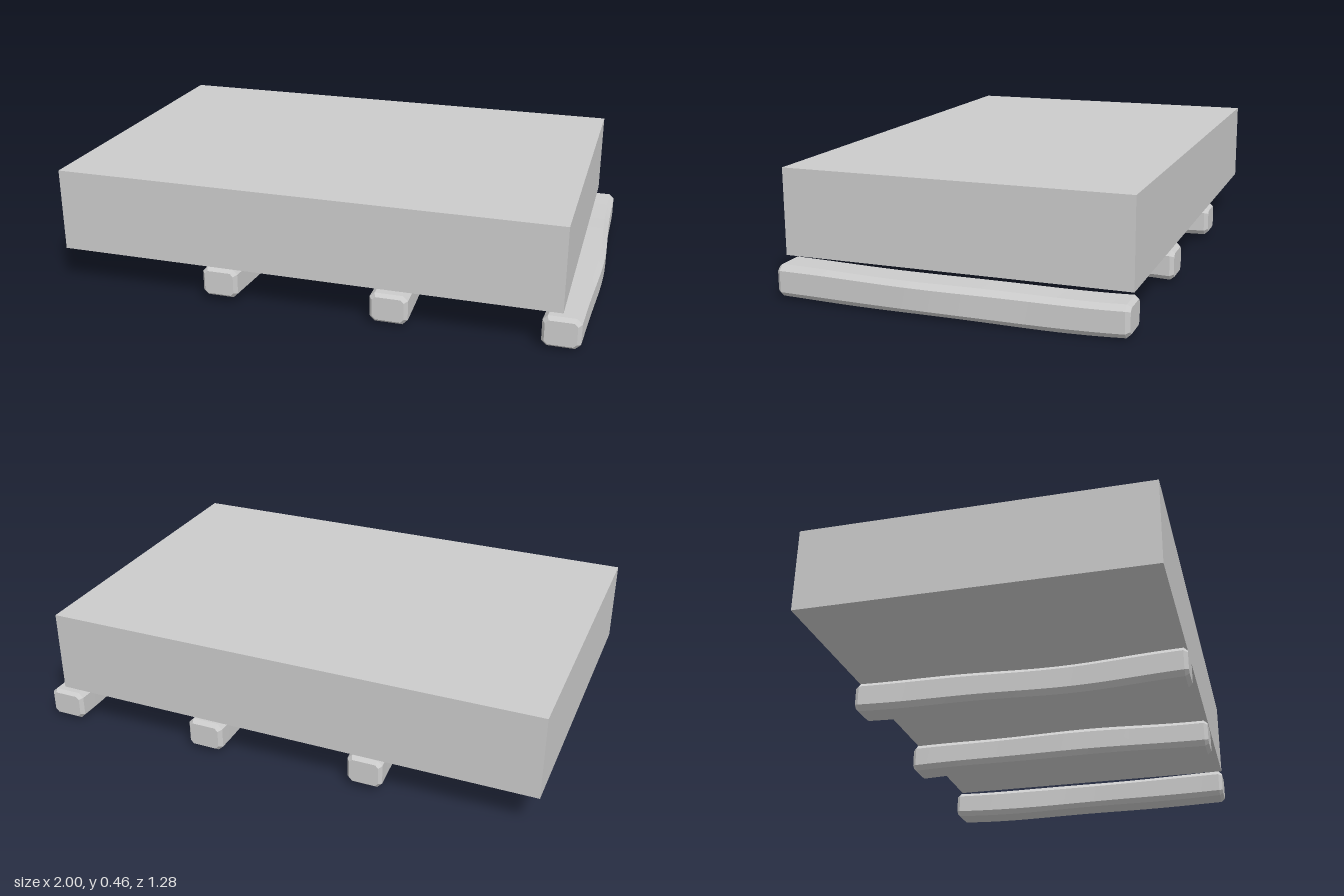
import * as THREE from 'three';
import { toCreasedNormals } from 'three/addons/utils/BufferGeometryUtils.js';

const LENGTH = 1.282;

// Rough timber: a chamfered bar along z, gently bowed and worn by smooth waves
function timberGeometry(width, height, bow, phase) {
  const bevel = 0.012, c = 0.012;
  const w = width / 2 - bevel, h = height / 2 - bevel;
  const section = new THREE.Shape([
    [w - c, -h], [w, -h + c], [w, h - c], [w - c, h],
    [-w + c, h], [-w, h - c], [-w, -h + c], [-w + c, -h],
  ].map(([x, y]) => new THREE.Vector2(x, y)));
  const geometry = new THREE.ExtrudeGeometry(section, {
    depth: LENGTH - 0.03, steps: 28,
    bevelThickness: 0.015, bevelSize: bevel, bevelSegments: 1,
  });
  geometry.translate(0, 0, 0.015 - LENGTH / 2);

  const p = geometry.attributes.position;
  for (let i = 0; i < p.count; i++) {
    const x = p.getX(i), y = p.getY(i), z = p.getZ(i);
    const arch = Math.cos(z * Math.PI / LENGTH);
    const sideWear = 1 + 0.04 * Math.sin(9 * z + phase + Math.sign(x));
    const topWear = 1 + 0.05 * Math.sin(8 * z + 2 * phase + 2 * Math.sign(y));
    p.setX(i, x * sideWear + bow * (arch - 0.5) + 0.003 * Math.sin(6 * z + phase));
    p.setY(i, y * topWear + 0.004 * Math.sin(5 * z + phase) - 0.003 * arch);
  }
  return toCreasedNormals(geometry, 0.5);
}

export function createModel() {
  const group = new THREE.Group();
  const material = new THREE.MeshStandardMaterial({ color: 0xcccccc });

  // Plain rectangular slab
  const slab = new THREE.Mesh(new THREE.BoxGeometry(1.91, 0.318, 1.274), material);
  slab.name = 'slab';
  slab.position.set(-0.045, 0.304, 0);
  group.add(slab);

  // Three timbers beneath it: [name, x, y, width, height, bow, phase]
  const timbers = [
    ['leftTimber', 0.917, 0.067, 0.138, 0.115, 0.02, 0.4],
    ['middleTimber', 0.285, 0.074, 0.14, 0.113, -0.014, 2.1],
    ['rightTimber', -0.355, 0.078, 0.138, 0.115, 0.016, 3.9],
  ];
  for (const [name, x, y, width, height, bow, phase] of timbers) {
    const timber = new THREE.Mesh(timberGeometry(width, height, bow, phase), material);
    timber.name = name;
    timber.position.set(x, y, 0);
    group.add(timber);
  }
  return group;
}
